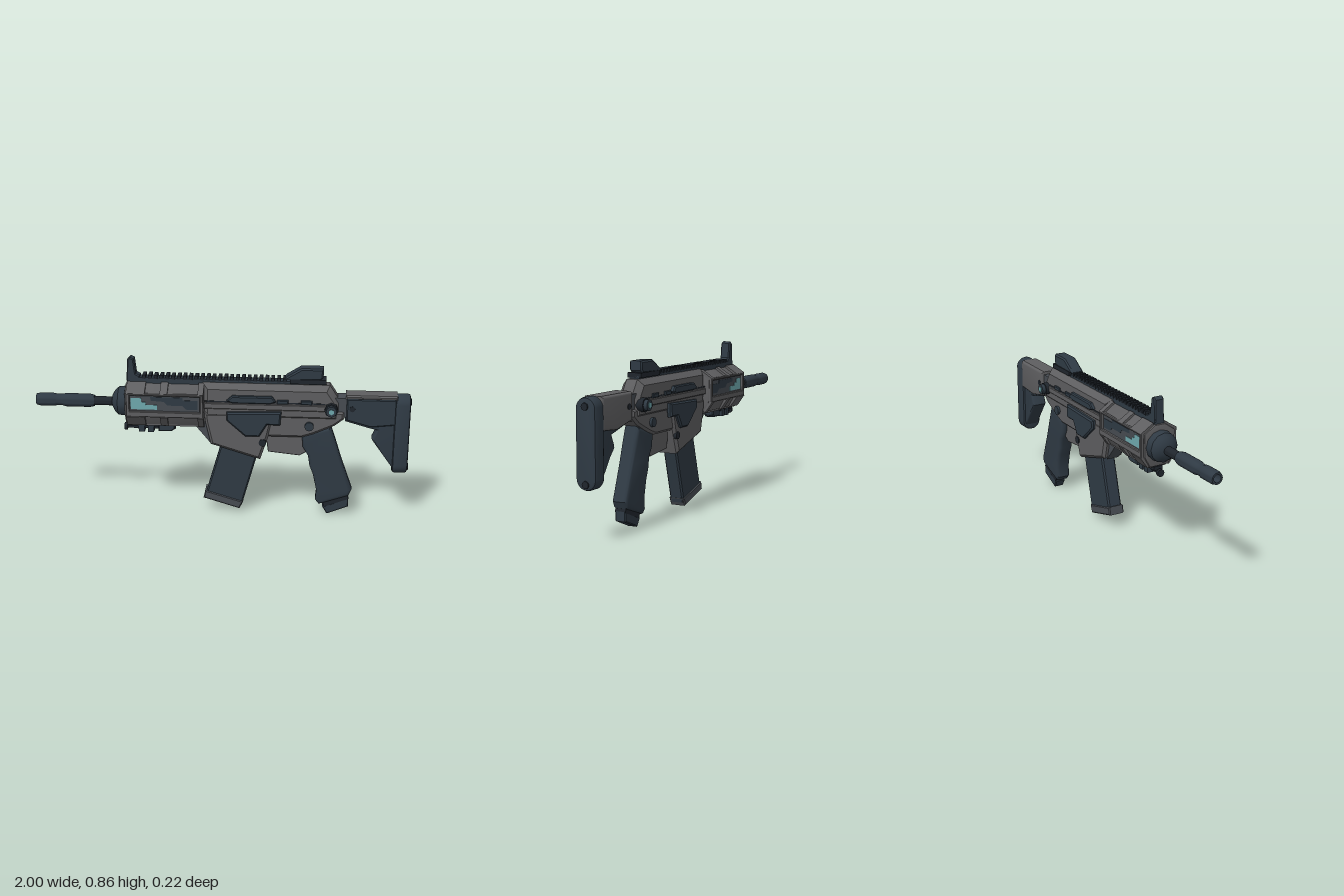
import * as THREE from 'three';
import { toCreasedNormals } from 'three/addons/utils/BufferGeometryUtils.js';

const material = (name, color) => new THREE.MeshStandardMaterial({ name, color });

export function createModel() {
  const model = new THREE.Group();
  model.name = 'toyBlaster';
  const grey = material('gunmetal grey', 0x5e5e60);
  const dark = material('slate blue', 0x2f3a44);
  const black = material('near black', 0x20262d);
  const mid = material('panel grey', 0x474c52);
  const teal = material('teal', 0x6fa9ae);

  const add = (name, geometry, mat, x = 0, y = 0, z = 0) => {
    const mesh = new THREE.Mesh(geometry, mat);
    mesh.name = name;
    mesh.position.set(x, y, z);
    model.add(mesh);
    return mesh;
  };
  const shapeOf = (pts, hole) => {
    const shape = new THREE.Shape(pts.map(p => new THREE.Vector2(...p)));
    if (hole) shape.holes.push(new THREE.Path(hole.map(p => new THREE.Vector2(...p))));
    return shape;
  };
  const extrude = (shape, depth, bevel, segments) => toCreasedNormals(new THREE.ExtrudeGeometry(shape, {
    depth: depth - 2 * bevel, bevelEnabled: bevel > 0, bevelSize: bevel, bevelThickness: bevel,
    bevelOffset: -bevel, bevelSegments: segments, curveSegments: 10,
  }).translate(0, 0, bevel - depth / 2), 0.6);
  // Side profile in x and y, given its thickness across z
  const plate = (name, pts, width, mat, { bevel = 0, segments = 1, z = 0, hole } = {}) =>
    add(name, extrude(shapeOf(pts, hole), width, bevel, segments), mat, 0, 0, z);
  const rect = (x0, x1, y0, y1) => [[x0, y0], [x1, y0], [x1, y1], [x0, y1]];
  const pair = (name, pts, width, mat, z, options = {}) => {
    for (const s of [1, -1]) plate(name, pts, width, mat, { ...options, z: s * z });
  };
  // Symmetric section in z and y, swept along x
  const sweep = (name, half, x0, x1, mat, bevel = 0) => {
    const pts = [...half, ...half.map(([z, y]) => [-z, y]).reverse()];
    return add(name, extrude(shapeOf(pts), x1 - x0, bevel, 2).rotateY(Math.PI / 2), mat, (x0 + x1) / 2);
  };
  const box = (name, x0, x1, y0, y1, width, mat, z = 0) =>
    add(name, new THREE.BoxGeometry(x1 - x0, y1 - y0, width), mat, (x0 + x1) / 2, (y0 + y1) / 2, z);
  // Turned part along x: points are [radius, x]
  const turned = (name, pts, mat, y, sides = 24) => add(name,
    toCreasedNormals(new THREE.LatheGeometry(pts.map(p => new THREE.Vector2(...p)), sides).rotateZ(-Math.PI / 2), 0.6),
    mat, 0, y);
  const stud = (name, x, y, z0, z1, r, mat, sides = 16) => {
    for (const s of [1, -1]) {
      add(name, new THREE.CylinderGeometry(r, r, z1 - z0, sides).rotateX(Math.PI / 2), mat, x, y, s * (z0 + z1) / 2);
    }
  };

  // Barrel, muzzle sleeve and collar
  turned('muzzleSleeve', [[0, -0.93], [0.018, -0.93], [0.02, -1], [0.03, -1], [0.035, -0.98], [0.035, -0.9],
    [0.031, -0.89], [0.031, -0.86], [0.036, -0.84], [0.036, -0.71], [0.03, -0.685], [0, -0.685]], dark, 0.61);
  turned('barrel', [[0, -0.7], [0.024, -0.7], [0.024, -0.5], [0, -0.5]], black, 0.61);
  turned('barrelCollar', [[0, -0.585], [0.035, -0.585], [0.06, -0.57], [0.078, -0.55], [0.082, -0.5],
    [0.082, -0.47], [0, -0.47]], dark, 0.615, 12);

  // Handguard core with framed side panels
  sweep('handguardCore', [[0.03, 0.725], [0.088, 0.685], [0.088, 0.565], [0.055, 0.505]], -0.51, -0.09, grey, 0.008);
  pair('handguardFrame', rect(-0.5, -0.09, 0.56, 0.69), 0.02, grey, 0.095,
    { bevel: 0.004, hole: rect(-0.48, -0.108, 0.592, 0.678) });
  pair('panelInset', rect(-0.48, -0.108, 0.592, 0.678), 0.004, mid, 0.0885);
  pair('tealMarking', [[-0.475, 0.6], [-0.335, 0.6], [-0.335, 0.625], [-0.395, 0.625], [-0.395, 0.64],
    [-0.42, 0.64], [-0.42, 0.662], [-0.475, 0.662]], 0.005, teal, 0.0905);
  pair('darkMarking', [[-0.37, 0.67], [-0.2, 0.67], [-0.2, 0.655], [-0.12, 0.655], [-0.12, 0.605], [-0.18, 0.605],
    [-0.2, 0.625], [-0.28, 0.625], [-0.3, 0.645], [-0.37, 0.65]], 0.005, dark, 0.0905);
  // Sloping frames above and below each side panel
  for (const [half, name] of [[[[0.034, 0.735], [0.105, 0.69], [0.09, 0.68], [0.03, 0.72]], 'upperRib'],
    [[[0.105, 0.56], [0.062, 0.5], [0.055, 0.51], [0.09, 0.57]], 'lowerRib']]) {
    for (const s of [1, -1]) {
      for (const [x0, x1] of [[-0.5, -0.4], [-0.32, -0.28], [-0.12, -0.09]]) {
        add(name, extrude(shapeOf(half.map(([z, y]) => [-s * z, y])), x1 - x0, 0, 1).rotateY(Math.PI / 2),
          grey, (x0 + x1) / 2);
      }
    }
  }
  box('handguardBelly', -0.49, -0.09, 0.495, 0.53, 0.1, grey);
  plate('handguardWedge', [[-0.15, 0.51], [-0.05, 0.51], [-0.05, 0.39]], 0.07, mid);

  // Accessory under the handguard
  turned('underRod', [[0, -0.525], [0.02, -0.525], [0.02, -0.51], [0.01, -0.508], [0.01, -0.25], [0, -0.25]], black, 0.47, 12);
  box('underRail', -0.5, -0.26, 0.48, 0.5, 0.05, black);
  for (const x of [-0.43, -0.38]) box('underClamp', x - 0.016, x + 0.016, 0.45, 0.49, 0.06, dark);
  plate('underBody', [[-0.34, 0.455], [-0.27, 0.455], [-0.25, 0.47], [-0.25, 0.495], [-0.34, 0.495]], 0.06, dark, { bevel: 0.006 });

  // Upper receiver
  plate('upperReceiver', [[-0.1, 0.54], [-0.1, 0.74], [0.57, 0.74], [0.63, 0.65], [0.63, 0.54]], 0.12, grey, { bevel: 0.03 });
  pair('sideRidge', rect(-0.09, 0.57, 0.605, 0.638), 0.014, grey, 0.062, { bevel: 0.004 });
  pair('receiverSeam', rect(-0.09, 0.55, 0.642, 0.648), 0.004, black, 0.06);
  pair('portCover', [[0.03, 0.655], [0.06, 0.642], [0.26, 0.642], [0.29, 0.655], [0.27, 0.682], [0.06, 0.682]],
    0.03, dark, 0.066, { bevel: 0.006 });
  for (const x of [0.325, 0.45]) pair('sideClip', rect(x - 0.03, x + 0.03, 0.64, 0.663), 0.02, dark, 0.06, { bevel: 0.004 });
  box('rearBlock', 0.6, 0.68, 0.57, 0.675, 0.085, mid);

  // Lower receiver and magazine well
  plate('lowerReceiver', [[-0.06, 0.6], [-0.06, 0.53], [0.2, 0.45], [0.43, 0.45], [0.49, 0.47], [0.6, 0.52],
    [0.65, 0.56], [0.65, 0.6]], 0.105, grey, { bevel: 0.012 });
  plate('magazineWell', [[-0.09, 0.58], [-0.085, 0.53], [-0.055, 0.4], [0.21, 0.32], [0.255, 0.46], [0.28, 0.58]],
    0.126, grey, { bevel: 0.014 });
  pair('sidePlate', [[0.03, 0.59], [0.32, 0.598], [0.315, 0.525], [0.245, 0.525], [0.205, 0.458], [0.13, 0.458],
    [0.03, 0.545]], 0.03, dark, 0.066, { bevel: 0.008 });
  stud('pivotPin', 0.467, 0.518, 0.04, 0.066, 0.024, dark);
  stud('magazineCatch', 0.222, 0.42, 0.05, 0.068, 0.02, black);
  stud('selectorKnob', 0.58, 0.618, 0.04, 0.105, 0.028, dark);
  stud('selectorNeck', 0.58, 0.618, 0.04, 0.085, 0.036, black, 8);
  stud('selectorCap', 0.58, 0.618, 0.105, 0.108, 0.015, teal, 6);

  // Magazine
  plate('magazine', [[0, 0.4], [0.2, 0.36], [0.187, 0.315], [0.112, 0.04], [-0.085, 0.1]], 0.08, dark, { bevel: 0.008 });
  plate('magazineBase', [[-0.087, 0.125], [-0.097, 0.08], [0.1, 0.022], [0.12, 0.065]], 0.09, mid, { bevel: 0.006 });

  // Trigger and guard
  plate('triggerGuard', [[0.235, 0.46], [0.25, 0.352], [0.42, 0.335], [0.46, 0.36], [0.47, 0.46]], 0.035, grey,
    { bevel: 0.003, hole: [[0.255, 0.455], [0.265, 0.367], [0.415, 0.349], [0.44, 0.37], [0.45, 0.455]] });
  plate('trigger', [[0.35, 0.46], [0.375, 0.42], [0.372, 0.39], [0.355, 0.372], [0.375, 0.375], [0.395, 0.4], [0.395, 0.46]],
    0.02, black);

  // Pistol grip
  plate('grip', [[0.43, 0.46], [0.58, 0.51], [0.605, 0.44], [0.64, 0.33], [0.705, 0.15], [0.69, 0.115], [0.53, 0.06],
    [0.51, 0.085], [0.515, 0.14], [0.495, 0.23], [0.475, 0.28], [0.465, 0.34], [0.435, 0.39]], 0.085, dark,
  { bevel: 0.02, segments: 4 });
  plate('gripNeck', [[0.545, 0.085], [0.685, 0.13], [0.69, 0.095], [0.56, 0.045]], 0.06, black);
  plate('gripCap', [[0.55, 0.045], [0.69, 0.1], [0.69, 0.05], [0.575, 0.003]], 0.06, dark, { bevel: 0.005 });

  // Stock with triangular opening, cheek cover and butt pad
  plate('stockBody', [[0.655, 0.68], [0.95, 0.68], [0.97, 0.27], [0.93, 0.265], [0.8, 0.445], [0.825, 0.5],
    [0.78, 0.51], [0.655, 0.545]], 0.085, dark,
  { bevel: 0.012, segments: 3, hole: [[0.822, 0.438], [0.907, 0.342], [0.907, 0.515], [0.855, 0.515]] });
  plate('cheekCover', [[0.655, 0.55], [0.655, 0.69], [0.925, 0.69], [0.925, 0.53], [0.79, 0.52]], 0.07, grey,
    { bevel: 0.014, segments: 3, z: -0.02 });
  plate('cheekTop', rect(0.655, 0.925, 0.668, 0.692), 0.1, grey, { bevel: 0.008 });
  plate('stockSide', [[0.66, 0.555], [0.66, 0.675], [0.92, 0.675], [0.92, 0.535], [0.79, 0.52]], 0.025, dark,
    { bevel: 0.006, z: 0.042 });
  stud('stockBolt', 0.69, 0.62, 0.03, 0.058, 0.015, black);
  const arc = (cy, from) => Array.from({ length: 8 }, (_, i) => {
    const a = from - (i / 8) * Math.PI / 2;
    return [0.056 * Math.cos(a), cy + 0.056 * Math.sin(a)];
  });
  sweep('buttPad', [...arc(0.638, Math.PI / 2 - 0.05), ...arc(0.309, 0)], 0.912, 0.994, dark, 0.014);
  for (const y of [0.65, 0.284]) turned('buttBolt', [[0, 0.98], [0.022, 0.98], [0.018, 1], [0, 1]].reverse(), black, y, 10)
    .material.side = THREE.DoubleSide;

  // Top rail with teeth
  box('topRail', -0.5, 0.55, 0.72, 0.755, 0.055, dark);
  for (let i = 0; i < 25; i++) {
    const x = -0.42 + i * 0.031;
    box('railTooth', x, x + 0.018, 0.75, 0.77, 0.062, black);
  }

  // Front and rear sights
  plate('frontSight', [[-0.505, 0.735], [-0.5, 0.85], [-0.485, 0.865], [-0.465, 0.855], [-0.455, 0.775], [-0.435, 0.765],
    [-0.435, 0.735]], 0.055, dark, { bevel: 0.006 });
  plate('rearSight', [[0.33, 0.765], [0.345, 0.782], [0.42, 0.828], [0.535, 0.828], [0.535, 0.78], [0.52, 0.765]],
    0.072, dark, { bevel: 0.008 });
  box('rearSightBase', 0.36, 0.55, 0.745, 0.77, 0.078, black);
  return model;
}
